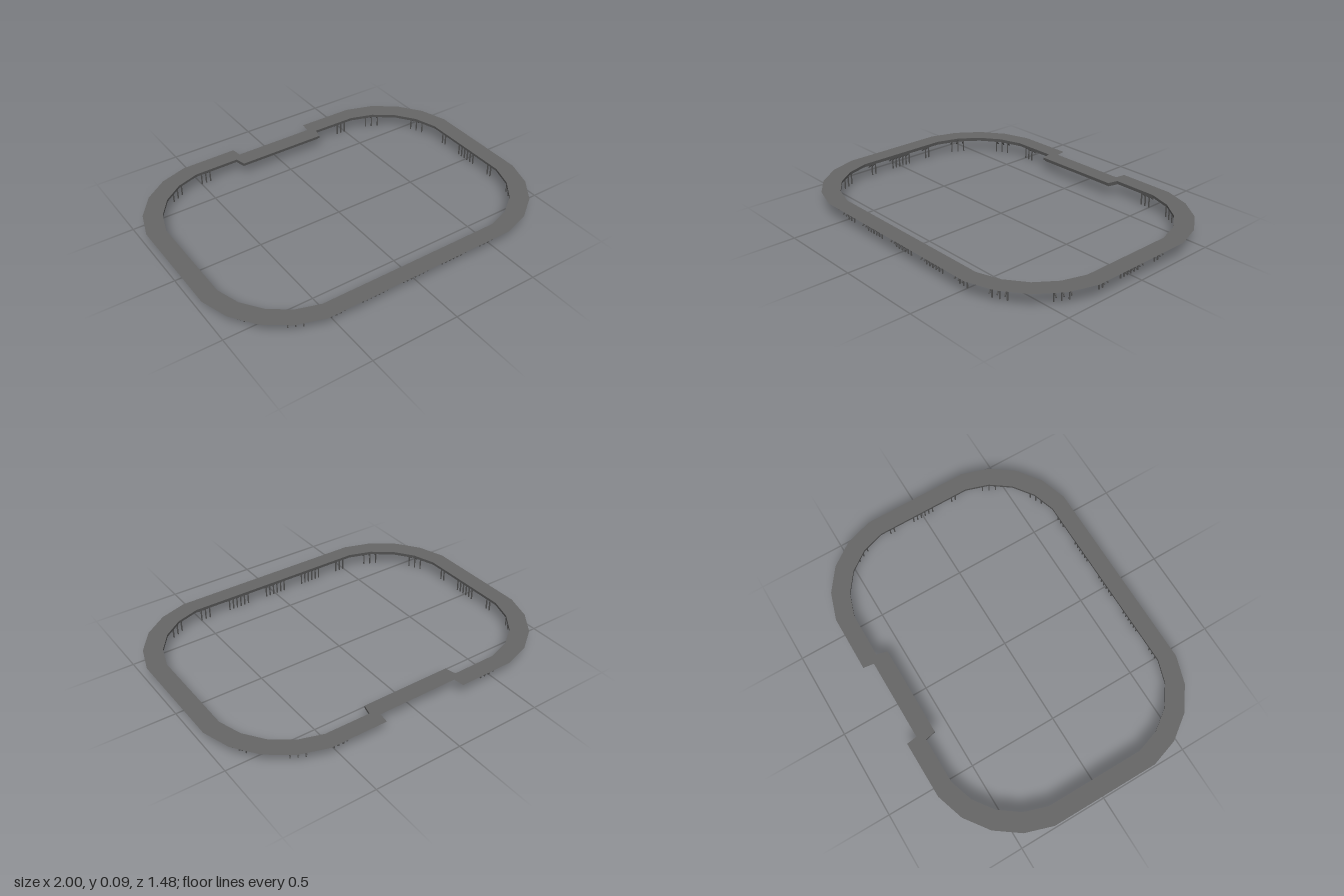
import * as THREE from 'three';
import { mergeGeometries } from 'three/addons/utils/BufferGeometryUtils.js';

const DECK_WIDTH = 0.096;

// One rounded corner (in +x +z) made of four straight segments
function corner(x0, z0, step) {
  const pts = [[x0, z0]];
  for (const deg of [18, 36, 54, 72]) {
    const a = THREE.MathUtils.degToRad(deg);
    const [x, z] = pts[pts.length - 1];
    pts.push([x + step * Math.cos(a), z - step * Math.sin(a)]);
  }
  return pts;
}

// Closed loop, counterclockwise from above, with the inward jog at the back
function loopPoints(arc, jog) {
  const mirror = (pts, sx, sz) => pts.map(([x, z]) => [x * sx, z * sz]);
  return [
    ...arc,
    ...mirror(arc, 1, -1).reverse(),
    ...jog,
    ...mirror(jog, -1, 1).reverse(),
    ...mirror(arc, -1, -1),
    ...mirror(arc, -1, 1).reverse(),
  ];
}

const inner = loopPoints(corner(0.535, 0.643, 0.1374), [[0.275, -0.645], [0.26, -0.585]]);
const outer = loopPoints(corner(0.567, 0.739, 0.163), [[0.243, -0.741], [0.235, -0.681]]);

// Sweep a section of [distance from inner edge, height] around the loop
function sweep(section, closed) {
  const pos = [];
  const n = inner.length;
  const at = (i, [o, y]) => {
    const k = i % n, t = o / DECK_WIDTH;
    return [
      THREE.MathUtils.lerp(inner[k][0], outer[k][0], t), y,
      THREE.MathUtils.lerp(inner[k][1], outer[k][1], t),
    ];
  };
  const edges = closed ? section.length : section.length - 1;
  for (let i = 0; i < n; i++) {
    for (let j = 0; j < edges; j++) {
      const p = section[j], q = section[(j + 1) % section.length];
      const a = at(i, p), b = at(i, q), c = at(i + 1, q), d = at(i + 1, p);
      pos.push(...a, ...d, ...c, ...a, ...c, ...b);
    }
  }
  const g = new THREE.BufferGeometry();
  g.setAttribute('position', new THREE.Float32BufferAttribute(pos, 3));
  g.computeVertexNormals();
  return g;
}

const rect = (o0, o1, y0, y1) => [[o0, y0], [o1, y0], [o1, y1], [o0, y1]];

// Vertical leg with a brace sloping down and outwards (local +x is outward)
function legGeometry() {
  const post = new THREE.BoxGeometry(0.006, 0.08, 0.006).translate(0.02, 0.04, 0);
  const brace = new THREE.BoxGeometry(0.06, 0.006, 0.006)
    .rotateZ(-Math.atan2(0.04, 0.045)).translate(0.032, 0.06, 0);
  return mergeGeometries([post, brace]);
}

export function createModel() {
  const model = new THREE.Group();
  const deckGrey = new THREE.MeshStandardMaterial({ color: 0x666666, side: THREE.DoubleSide });
  deckGrey.name = 'deck grey';
  const darkGrey = new THREE.MeshStandardMaterial({ color: 0x505050 });
  darkGrey.name = 'support grey';

  const add = (name, geometry, material) => {
    const mesh = new THREE.Mesh(geometry, material);
    mesh.name = name;
    model.add(mesh);
  };

  // Flat walkway, edge fascia and the rail beneath it
  add('deck', sweep([[DECK_WIDTH, 0.094], [0, 0.094]], false), deckGrey);
  add('innerFascia', sweep(rect(0, 0.01, 0.08, 0.093), true), darkGrey);
  add('underRail', sweep(rect(0.01, 0.03, 0.07, 0.082), true), darkGrey);

  // Leg clusters: centre x, z, outward angle from +x towards +z, count, spacing
  const clusters = [];
  for (const x of [-0.25, 0, 0.25]) clusters.push([x, 0.643, 90, 6, 0.025]);
  for (const s of [-1, 1]) {
    const side = s > 0 ? 0 : 180;
    clusters.push([s * 0.9, 0, side, 6, 0.025]);
    for (const t of [-1, 1]) {
      const angle = (a) => (s > 0 ? t * a : 180 - t * a);
      clusters.push([s * 0.47, t * 0.643, t * 90, 3, 0.027]);
      clusters.push([s * 0.9, t * 0.203, side, 2, 0.025]);
      clusters.push([s * 0.664, t * 0.6, angle(63), 3, 0.038]);
      clusters.push([s * 0.856, t * 0.408, angle(27), 3, 0.038]);
    }
  }
  const leg = legGeometry();
  const legs = [];
  for (const [x, z, deg, count, gap] of clusters) {
    const a = THREE.MathUtils.degToRad(deg);
    for (let i = 0; i < count; i++) {
      const d = (i - (count - 1) / 2) * gap;
      legs.push(leg.clone().rotateY(-a)
        .translate(x - d * Math.sin(a), 0, z + d * Math.cos(a)));
    }
  }
  add('supportLegs', mergeGeometries(legs), darkGrey);
  return model;
}
